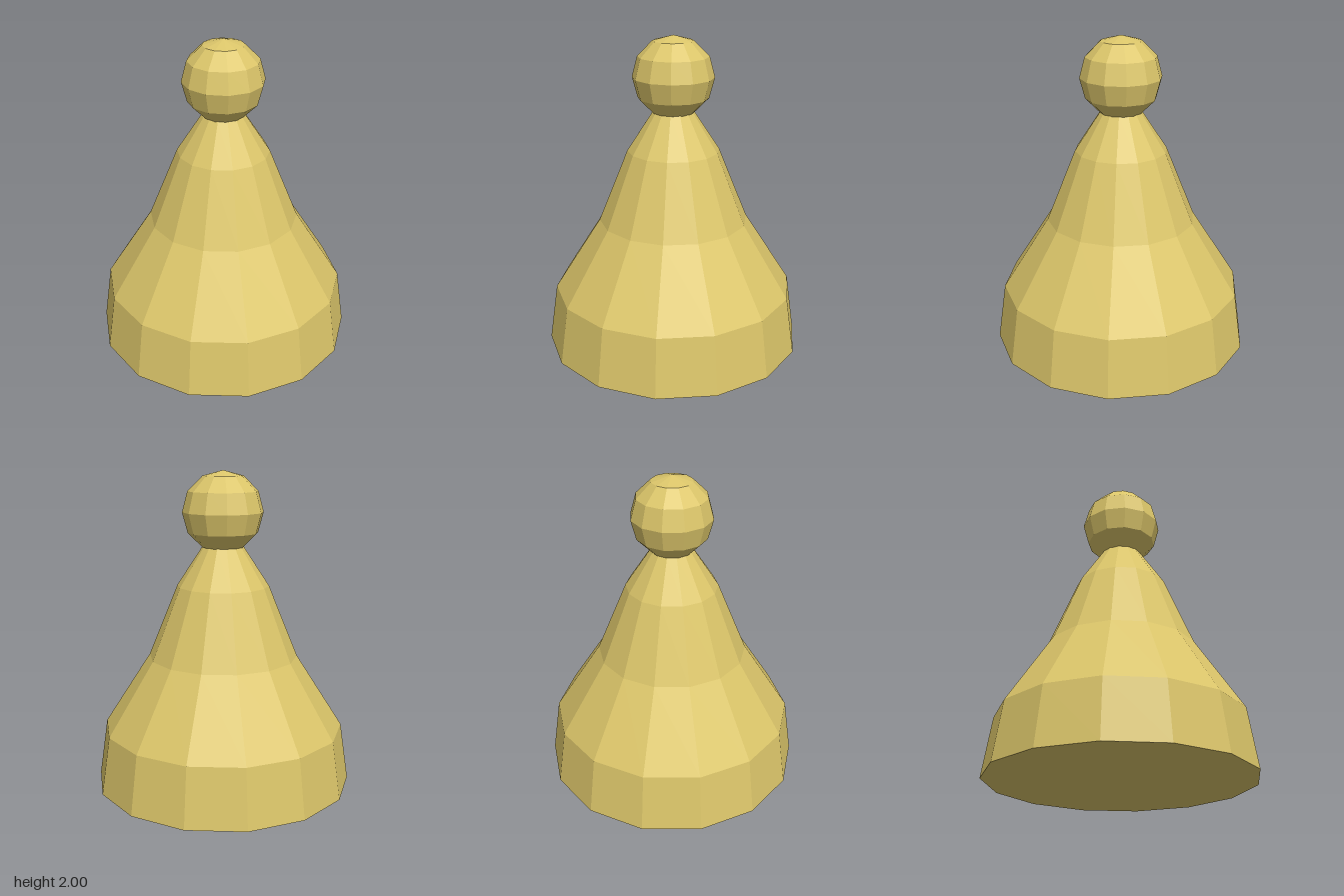
import * as THREE from 'three';

export function createModel() {
  const model = new THREE.Group();
  model.name = 'pawn';

  const brass = new THREE.MeshStandardMaterial({ color: 0xdcc66a, flatShading: true });
  brass.name = 'brass';

  // Fourteen-sided flared body, closed at both ends: [radius, height]
  const profile = [
    [0, 0], [0.825, 0], [0.77, 0.37], [0.475, 0.83],
    [0.29, 1.285], [0.13, 1.53], [0, 1.53],
  ].map(([r, y]) => new THREE.Vector2(r, y));
  const body = new THREE.Mesh(new THREE.LatheGeometry(profile, 14, Math.PI / 2), brass);
  body.name = 'body';
  model.add(body);

  // Faceted ball resting on the neck
  const head = new THREE.Mesh(new THREE.SphereGeometry(0.255, 12, 6), brass);
  head.name = 'head';
  head.position.y = 1.745;
  model.add(head);

  return model;
}
